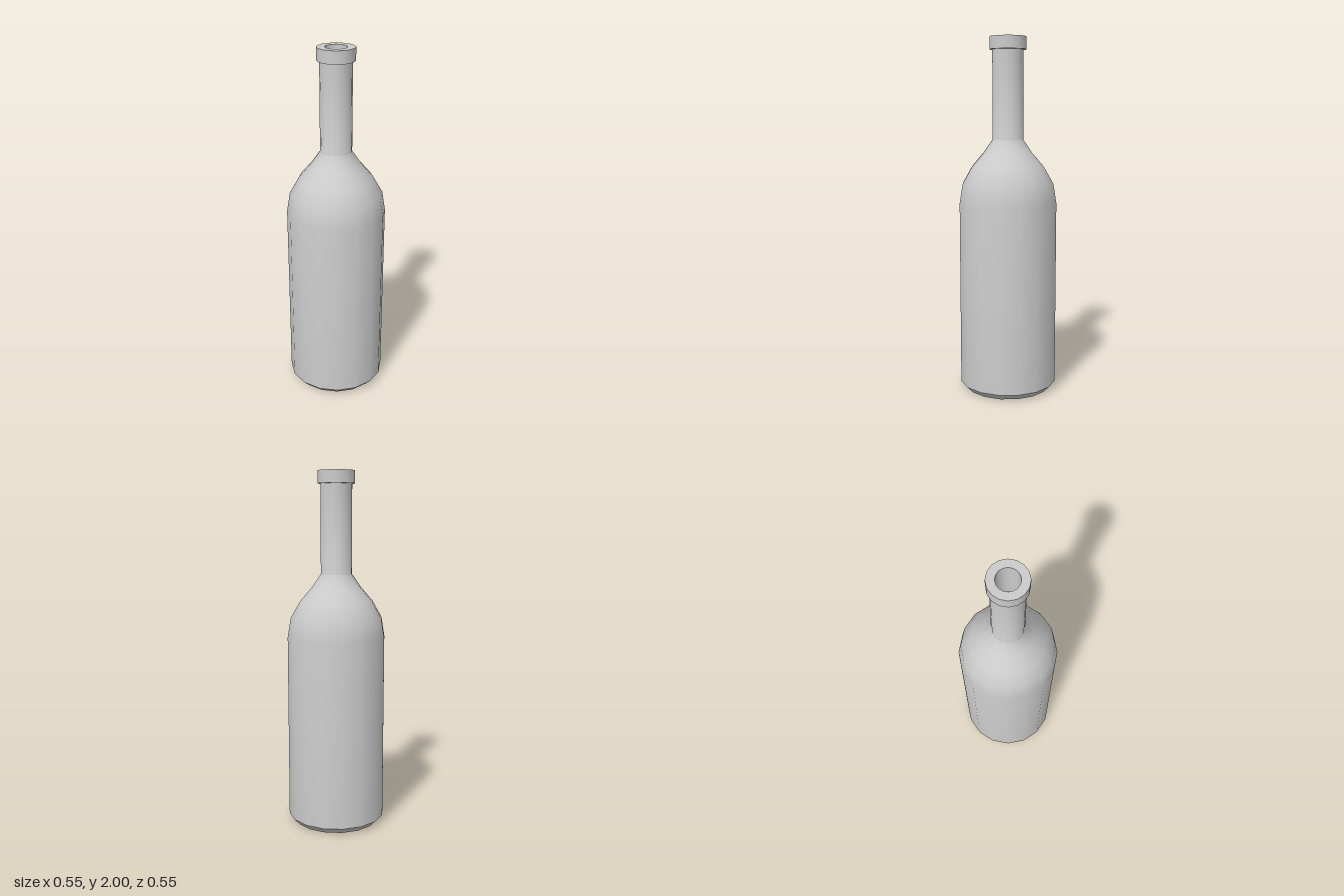
import * as THREE from 'three';
import { toCreasedNormals } from 'three/addons/utils/BufferGeometryUtils.js';

const SIDES = 16;

// Revolves a [radius, height] profile; bends sharper than about 37 degrees stay crisp.
function turned(name, profile, material) {
  const points = profile.map(([r, y]) => new THREE.Vector2(r, y));
  const geometry = toCreasedNormals(new THREE.LatheGeometry(points, SIDES), 0.65);
  const mesh = new THREE.Mesh(geometry, material);
  mesh.name = name;
  return mesh;
}

export function createModel() {
  const group = new THREE.Group();
  group.name = 'bottle';
  const grey = new THREE.MeshStandardMaterial({ color: 0xcccccc });

  // Chamfered base, straight wall, rounded shoulder and neck
  group.add(turned('bodyAndNeck', [
    [0, 0], [0.243, 0], [0.277, 0.036], [0.277, 1.08],
    [0.259, 1.19], [0.205, 1.285], [0.14, 1.36], [0.088, 1.435], [0.088, 1.93],
  ], grey));

  // Collar around the mouth, with the bore running down into the neck
  group.add(turned('lipAndBore', [
    [0.088, 1.93], [0.104, 1.93], [0.104, 2], [0.06, 2], [0.06, 1.75], [0, 1.75],
  ], grey));

  return group;
}
